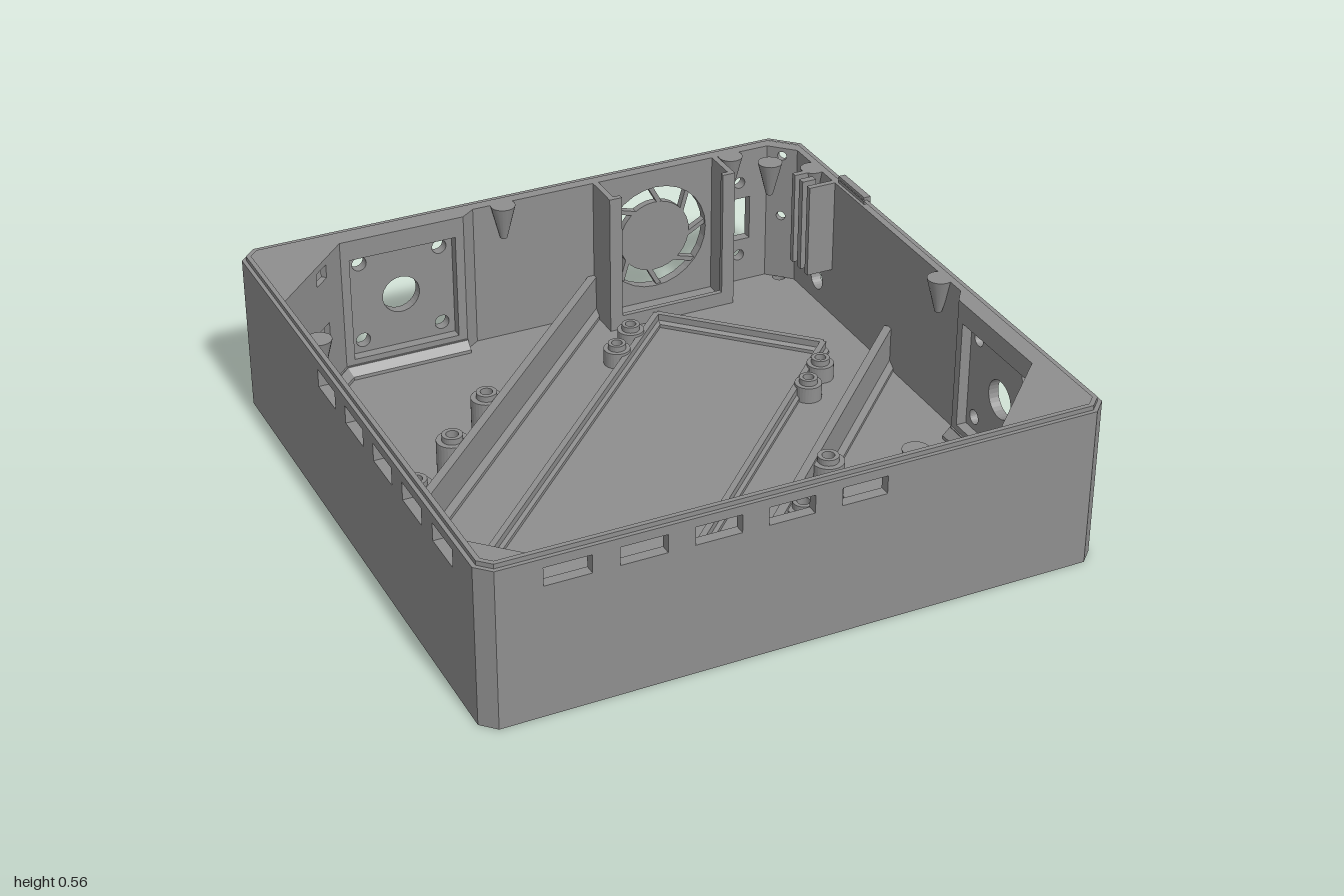
import * as THREE from 'three';

const T = 0.035, FLOOR = 0.03, TOP = 0.53;
const flip = ([x, z]) => [-z, -x]; // mirror across the tray's diagonal

export function createModel() {
  const model = new THREE.Group();
  const grey = new THREE.MeshStandardMaterial({ color: 0x8e8e8e });

  const add = (name, geo, x = 0, y = 0, z = 0, ry = 0) => {
    const m = new THREE.Mesh(geo, grey);
    m.name = name;
    m.position.set(x, y, z);
    m.rotation.y = ry;
    model.add(m);
    return m;
  };
  const poly = (pts, C = THREE.Shape) => new C(pts.map(([x, y]) => new THREE.Vector2(x, y)));
  const circle = (x, y, r, C = THREE.Path) => new C().absarc(x, y, r, 0, Math.PI * 2);
  const rect = (u0, u1, y0, y1) => poly([[u0, y0], [u1, y0], [u1, y1], [u0, y1]], THREE.Path);
  const extrude = (shape, depth) => new THREE.ExtrudeGeometry(shape, { depth, bevelEnabled: false, curveSegments: 14 });

  // Upright shape: plan points are [x, z]
  const lift = (shape, y0, y1) => extrude(shape, y1 - y0).rotateX(-Math.PI / 2).translate(0, y0, 0);
  const plan = (pts) => poly(pts.map(([x, z]) => [x, -z]));
  const prism = (name, pts, y0, y1) => add(name, lift(plan(pts), y0, y1));

  // Vertical plate from a to b, thickened to the right-hand side of travel
  const panel = (name, a, b, holes, depth = T, y0 = FLOOR, y1 = TOP) => {
    const dx = b[0] - a[0], dz = b[1] - a[1], L = Math.hypot(dx, dz);
    const s = poly([[0, y0], [L, y0], [L, y1], [0, y1]]);
    s.holes.push(...holes);
    add(name, extrude(s, depth), a[0], 0, a[1], Math.atan2(-dz, dx));
  };

  // Tapered ridge lying on the floor from a to b
  const ridge = (name, a, b, base, top, h) => {
    const dx = b[0] - a[0], dz = b[1] - a[1];
    const s = poly([[-base, FLOOR], [base, FLOOR], [base, FLOOR + 0.012], [top, FLOOR + 0.012 + base - top],
      [top, h], [-top, h], [-top, FLOOR + 0.012 + base - top], [-base, FLOOR + 0.012]]);
    add(name, extrude(s, Math.hypot(dx, dz)), a[0], 0, a[1], Math.atan2(dx, dz));
  };

  const ring = (name, [x, z], R, r, y0, y1) => {
    const s = circle(0, 0, R, THREE.Shape);
    s.holes.push(circle(0, 0, r));
    add(name, lift(s, y0, y1), x, 0, z);
  };

  // Octagonal plan of the tray with one larger corner cut
  const outline = (i) => {
    const e = 1 - i, c = 0.045 - i * 0.586, k = 0.09 - i * 0.586;
    return [[-e + c, -e], [e - k, -e], [e, -e + k], [e, e - c], [e - c, e], [-e + c, e], [-e, e - c], [-e, -e + c]];
  };

  // Floor with corner screw holes
  const floor = plan(outline(0));
  [[-0.95, 0.95], [0.95, 0.95], [-0.95, -0.95], [0.925, -0.925]].forEach(([x, z]) => floor.holes.push(circle(x, -z, 0.022)));
  add('floor', lift(floor, 0, FLOOR));

  // Raised lip round the rim
  const lip = plan(outline(0.013));
  lip.holes.push(poly(outline(0.028).map(([x, z]) => [x, -z]), THREE.Path));
  add('rimLip', lift(lip, TOP - 0.02, 0.545));
  add('rimTab', new THREE.BoxGeometry(0.024, 0.05, 0.175), 0.988, 0.53, -0.528);

  // Walls with slots, port holes and recesses
  const slots = (f) => [-0.738, -0.508, -0.278, -0.048, 0.185].map((x) => rect(f(x) - 0.073, f(x) + 0.073, 0.44, 0.5));
  const portHoles = (f) => [
    circle(f(-0.465), 0.275, 0.065),
    ...[-0.605, -0.325].flatMap((x) => [0.135, 0.42].map((y) => circle(f(x), y, 0.025))),
    rect(f(-0.835), f(-0.72), 0.16, 0.525),
  ];
  panel('frontWall', [0.955, 1], [-0.955, 1], slots((x) => 0.955 - x));
  panel('rightSideWall', [-1, 0.955], [-1, -0.955], slots((x) => 0.955 + x));
  const fb = (x) => x + 0.955, fs = (x) => 0.91 - x;
  panel('backWall', [-0.955, -1], [0.91, -1], [...portHoles(fb), circle(fb(0.465), 0.275, 0.19),
    rect(fb(0.75), fb(0.825), 0.19, 0.35), circle(fb(0.785), 0.13, 0.02), circle(fb(0.785), 0.41, 0.02)]);
  panel('leftSideWall', [1, -0.91], [1, 0.955], [...portHoles(fs),
    circle(-0.725 + 0.91, 0.35, 0.065), circle(-0.725 + 0.91, 0.115, 0.04)]);

  // Cut back corner with its recessed plate
  panel('cornerPanel', [0.91, -1], [1, -0.91], [rect(0.012, 0.115, 0.16, 0.525)], 0.02);
  panel('cornerRecess', [0.89, -0.992], [0.992, -0.89],
    [0.27, 0.5].map((y) => circle(0.072, y, 0.016)), 0.02);

  // Small corner posts
  const post = [[0.955, 1], [1, 0.955], [0.965, 0.955], [0.955, 0.965]];
  prism('cornerPost', post, FLOOR, TOP);
  prism('cornerPost', post.map(([x, z]) => [-x, -z]), FLOOR, TOP);
  prism('cornerBlock', [[-0.955, 1], [-1, 0.955], [-0.965, 0.955], [-0.965, 0.83], [-0.83, 0.965], [-0.955, 0.965]], FLOOR, TOP);

  // Parts repeated on both sides of the diagonal
  for (const side of [0, 1]) {
    const p = (q) => (side ? flip(q) : q);
    const run = (name, a, b, ...rest) => (side ? panel(name, flip(b), flip(a), ...rest) : panel(name, a, b, ...rest));
    const A = [-0.965, -0.645], B = [-0.68, -0.93], C = [-0.25, -0.93];

    // Diagonal corner wall with nut slots, and its cover
    const L = 0.403, u = side ? L - 0.141 : 0.141;
    run('cornerWall', B, A, [rect(u - 0.035, u + 0.035, 0.245, 0.295), rect(u - 0.035, u + 0.035, 0.46, 0.507)], 0.02);
    prism('cornerCover', [A, B, [-0.68, -0.966], [-0.966, -0.966]].map(p), 0.512, TOP);

    // Backing plate of the recess, with screw holes
    run('recessPlate', [-0.845, -0.978], [-0.71, -0.978], [0.27, 0.5].map((y) => circle(0.0675, y, 0.016)), 0.02);

    // Thick frame round the port
    run('portFrame', [-0.68, -0.965], [-0.25, -0.965], [rect(0.03, 0.4, 0.09, 0.46)]);
    prism('portFrameEnd', [C, [-0.25, -0.966], [-0.2, -0.966]].map(p), FLOOR, TOP);
    ridge('wallFoot', p(A), p(B), 0.03, 0.005, 0.07);
    ridge('wallFoot', p(B), p(C), 0.03, 0.005, 0.07);

    // Tall divider with standoffs behind it
    ridge('divider', p([-0.97, 0.24]), p([0.23, -0.965]), 0.032, 0.014, 0.18);
    for (const q of [[-0.4, -0.4], [-0.595, -0.21], [-0.79, -0.02]]) {
      ring('tallStandoff', p(q), 0.052, 0.02, FLOOR, 0.17);
      ring('tallStandoffTip', p(q), 0.034, 0.02, 0.17, 0.19);
    }
    // Low standoffs beside the bay
    for (const q of [[0.26, -0.73], [0.165, -0.635], [-0.8, 0.33], [-0.9, 0.425]]) {
      ring('lowStandoff', p(q), 0.045, 0.018, FLOOR, 0.085);
      ring('lowStandoffTip', p(q), 0.03, 0.018, 0.085, 0.105);
    }
  }

  // Low rim of the diagonal bay
  const bay = [[-0.965, 0.56], [0.395, -0.81], [0.815, -0.395], [-0.56, 0.965]];
  bay.forEach((q, i) => ridge('bayRim', q, bay[(i + 1) % 4], 0.02, 0.01, 0.075));

  // Lid screw bosses hanging under the rim
  for (const [x, z] of [[-0.95, -0.38], [-0.1, -0.95], [0.74, -0.95], [0.84, -0.85], [0.95, -0.75], [0.95, 0.1], [0.375, 0.95]]) {
    add('lidBoss', new THREE.CylinderGeometry(0.042, 0.012, 0.12, 16), x, TOP - 0.06, z);
  }

  // Fan grille: hub and slanted spokes
  const fan = new THREE.Group();
  fan.name = 'fanGrille';
  fan.position.set(0.465, 0.275, -0.985);
  const hub = new THREE.Mesh(new THREE.CylinderGeometry(0.13, 0.13, 0.025, 32).rotateX(Math.PI / 2), grey);
  hub.name = 'fanHub';
  fan.add(hub);
  for (let i = 0; i < 8; i++) {
    const spoke = new THREE.Mesh(new THREE.BoxGeometry(0.095, 0.016, 0.024).rotateZ(0.5).translate(0.16, 0, 0), grey);
    spoke.name = 'fanSpoke';
    spoke.rotation.z = (i * Math.PI) / 4;
    fan.add(spoke);
  }
  model.add(fan);

  // Fan holder: two angled posts and a low sill
  for (const s of [-1, 1]) {
    add('fanPost', new THREE.BoxGeometry(0.02, 0.5, 0.14), 0.465 + s * 0.222, 0.28, -0.9);
    add('fanPostLip', new THREE.BoxGeometry(0.045, 0.5, 0.018), 0.465 + s * 0.21, 0.28, -0.839);
  }
  add('fanSill', new THREE.BoxGeometry(0.45, 0.05, 0.018), 0.465, 0.055, -0.839);

  // Grooved bracket on the left side wall
  for (const z of [-0.735, -0.63]) add('bracketCheek', new THREE.BoxGeometry(0.1, 0.33, 0.02), 0.92, 0.365, z);
  add('bracketWeb', new THREE.BoxGeometry(0.05, 0.33, 0.025), 0.895, 0.365, -0.683);

  return model;
}
